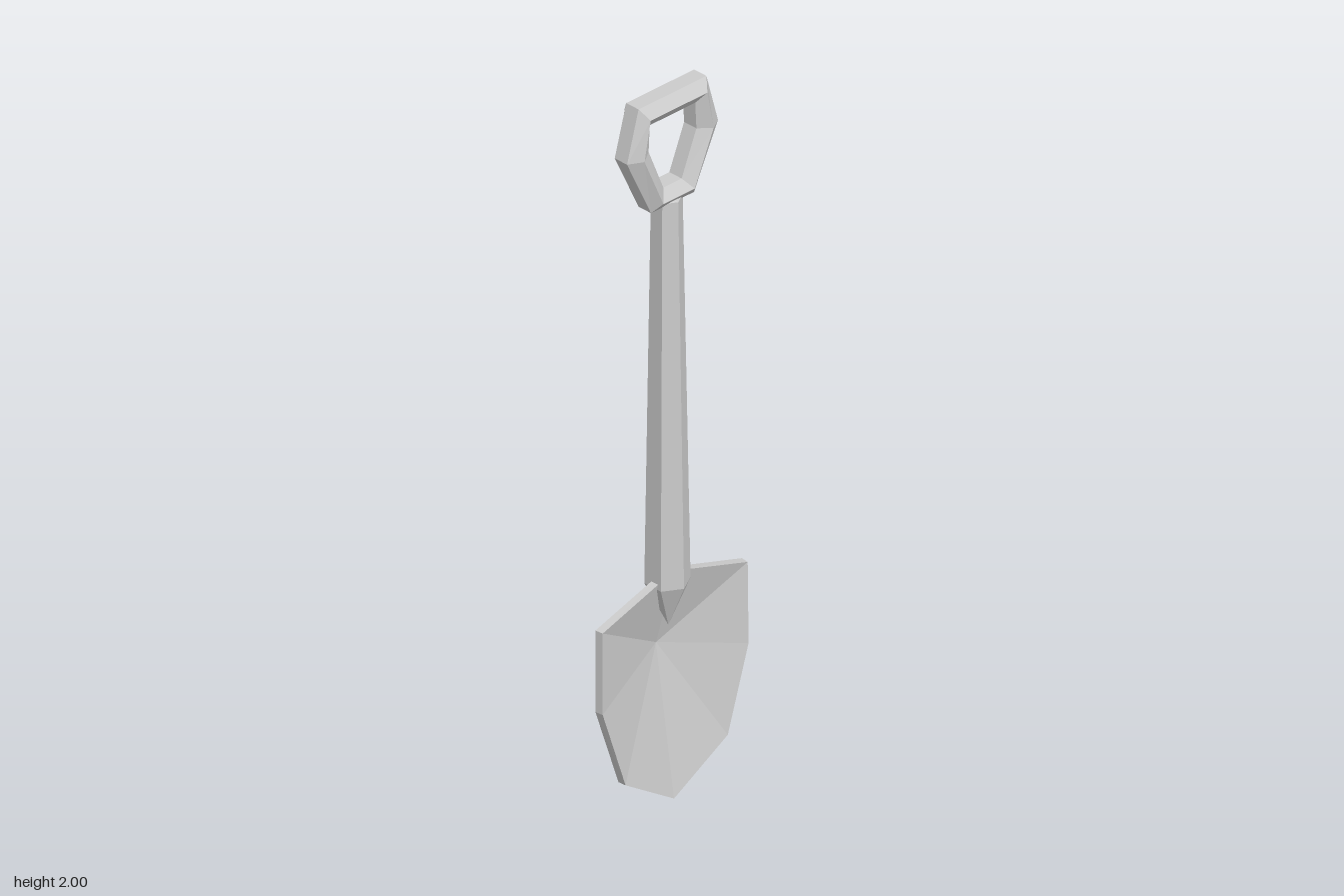
import * as THREE from 'three';

const material = new THREE.MeshStandardMaterial({ color: 0xcccccc, flatShading: true });

// Builds a mesh from equal-length loops of points; each loop runs counter-clockwise
// seen from the end of the sweep. Loops of one point act as tips.
function loft(name, loops, closed = false) {
  const pos = [];
  const tri = (a, b, c) => pos.push(...a, ...b, ...c);
  const last = closed ? loops.length : loops.length - 1;
  for (let i = 0; i < last; i++) {
    const a = loops[i], b = loops[(i + 1) % loops.length];
    const n = Math.max(a.length, b.length);
    for (let j = 0; j < n; j++) {
      const k = (j + 1) % n;
      const at = (loop, m) => loop[m % loop.length];
      if (a.length > 1) tri(at(a, j), at(a, k), at(b, k));
      if (b.length > 1) tri(at(a, j), at(b, k), at(b, j));
    }
  }
  const geometry = new THREE.BufferGeometry();
  geometry.setAttribute('position', new THREE.Float32BufferAttribute(pos, 3));
  geometry.computeVertexNormals();
  const mesh = new THREE.Mesh(geometry, material);
  mesh.name = name;
  return mesh;
}

// Six-sided ring lying across the shaft, with a corner to the front and the back
function hexRing(x, y, z, r) {
  return Array.from({ length: 6 }, (_, i) => {
    const a = (i * Math.PI) / 3;
    return [x + r * Math.sin(a), y, z + r * Math.cos(a)];
  });
}

// Shaft: tapers upward, with a pointed socket at the blade
function makeShaft() {
  return loft('shaft', [
    [[-0.007, 0.483, 0.004]],
    hexRing(-0.01, 0.61, 0.004, 0.058),
    hexRing(-0.019, 1.7, 0.011, 0.04),
    [[-0.019, 1.71, 0.011]],
  ]);
}

// Grip: hexagonal loop whose bar has a ridge on the front and back
function makeGrip() {
  const cx = -0.018;
  // Right half, top to bottom: [outer x, y, ridge x, y, inner x, y]
  const half = [
    [0.115, 2.0, 0.096, 1.97, 0.077, 1.94],
    [0.154, 1.86, 0.117, 1.862, 0.081, 1.866],
    [0.073, 1.69, 0.053, 1.717, 0.031, 1.745],
  ];
  const section = (s) => ([ox, oy, rx, ry, ix, iy]) => [
    [cx + s * ox, oy, 0.03],
    [cx + s * ox, oy, -0.013],
    [cx + s * rx, ry, -0.037],
    [cx + s * ix, iy, -0.013],
    [cx + s * ix, iy, 0.03],
    [cx + s * rx, ry, 0.053],
  ];
  const loops = [...half.map(section(1)), ...half.map(section(-1)).reverse()];
  return loft('grip', loops.reverse(), true);
}

// Blade: a dished plate, eight rim corners around a sunken centre
function makeBlade() {
  const rim = [
    [-0.006, 0], [0.178, 0.105], [0.249, 0.335], [0.246, 0.565],
    [-0.006, 0.643], [-0.25, 0.565], [-0.25, 0.335], [-0.172, 0.105],
  ];
  const back = rim.map(([x, y]) => [x, y, 0]);
  const front = rim.map(([x, y]) => [x * 0.99, y, 0.023]);
  return loft('blade', [
    [[-0.006, 0.41, -0.061]], back, front, [[-0.006, 0.415, -0.04]],
  ]);
}

export function createModel() {
  const group = new THREE.Group();
  group.name = 'shovel';
  group.add(makeBlade(), makeShaft(), makeGrip());
  return group;
}
